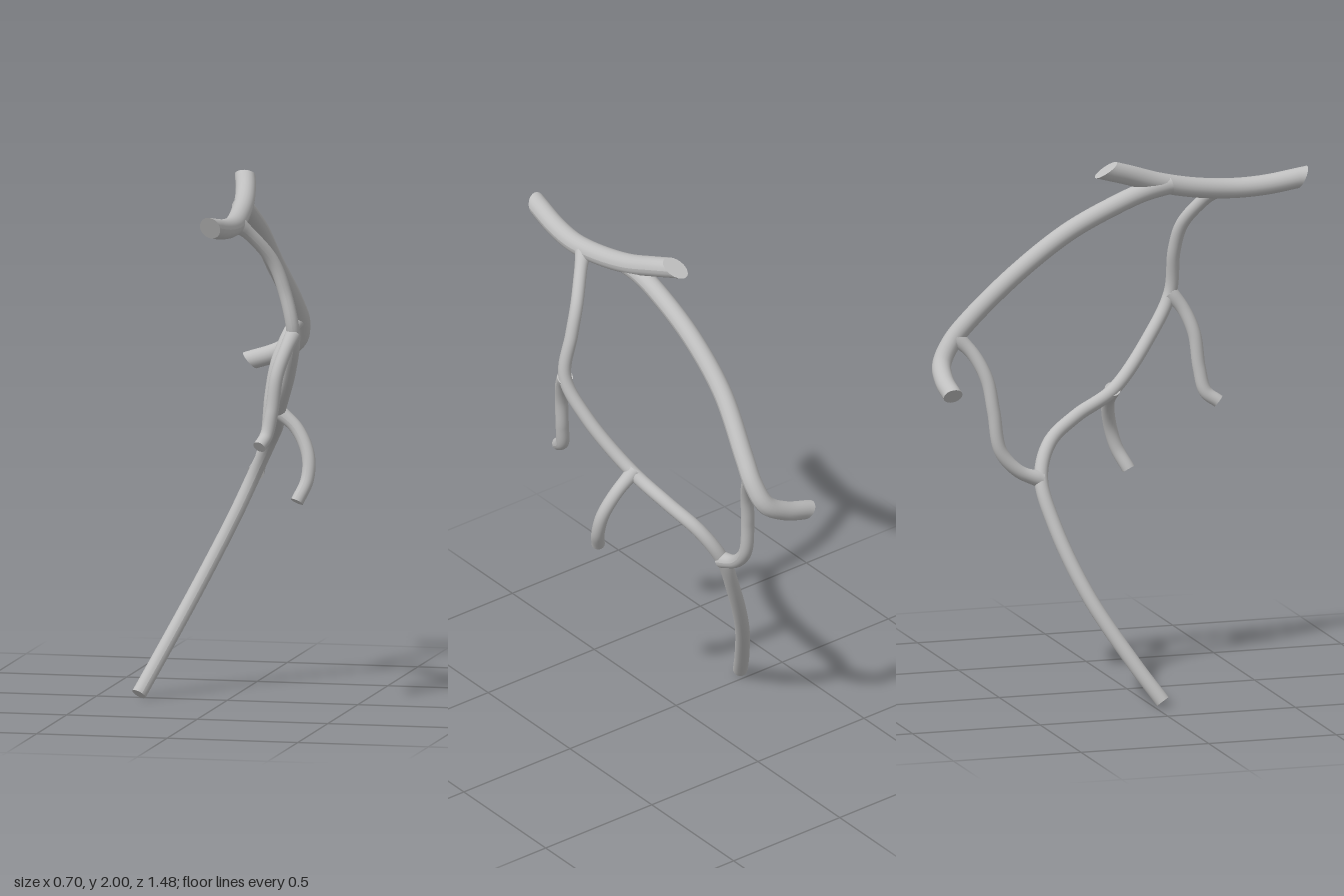
import * as THREE from 'three';

const SIDES = 20;
const V = (p) => new THREE.Vector3(...p);

// Capped tube through points. Options: cut0/cut1 = plane normals of slanted ends,
// flare0/flare1 = radius gain where the end melts into another branch, radius1 = end radius.
function branch(name, material, radius, points, o = {}) {
  const curve = new THREE.CatmullRomCurve3(points.map(V), false, 'centripetal');
  const steps = points.length * 8;
  const tube = new THREE.TubeGeometry(curve, steps, radius, SIDES, false);
  const pos = tube.attributes.position;
  const length = curve.getLength();
  const p = new THREE.Vector3();

  // taper and flare each ring about its centre
  for (let i = 0; i <= steps; i++) {
    const u = i / steps;
    const c = curve.getPointAt(u);
    const fall = (d) => Math.exp(-((d / 0.045) ** 2));
    const k = THREE.MathUtils.lerp(1, (o.radius1 ?? radius) / radius, u)
      + (o.flare0 ?? 0) * fall(u * length) + (o.flare1 ?? 0) * fall((1 - u) * length);
    for (let j = 0; j <= SIDES; j++) {
      const n = i * (SIDES + 1) + j;
      p.fromBufferAttribute(pos, n).sub(c).multiplyScalar(k).add(c);
      pos.setXYZ(n, p.x, p.y, p.z);
    }
  }

  // slide vertices lying beyond a cutting plane back along the axis
  const cut = (u, normal) => {
    if (!normal) return;
    const c = curve.getPointAt(u);
    const t = curve.getTangentAt(u);
    const n = V(normal).normalize();
    const ring = u * steps;
    for (let i = 0; i < 4; i++) {
      const r = Math.abs(ring - i);
      for (let j = 0; j <= SIDES; j++) {
        const v = r * (SIDES + 1) + j;
        p.fromBufferAttribute(pos, v);
        const d = p.clone().sub(c).dot(n);
        if (i === 0 || d > 0) p.addScaledVector(t, -d / t.dot(n));
        pos.setXYZ(v, p.x, p.y, p.z);
      }
    }
  };
  cut(0, o.cut0);
  cut(1, o.cut1);
  tube.computeVertexNormals();

  const group = new THREE.Group();
  group.name = name;
  const body = new THREE.Mesh(tube, material);
  body.name = name + 'Body';
  group.add(body);

  // flat end caps
  for (const u of [0, 1]) {
    const c = curve.getPointAt(u);
    const verts = [c.x, c.y, c.z];
    const index = [];
    for (let j = 0; j <= SIDES; j++) {
      p.fromBufferAttribute(pos, u * steps * (SIDES + 1) + j);
      verts.push(p.x, p.y, p.z);
    }
    // pick the winding that faces outward
    const a = V(verts.slice(3, 6)).sub(c);
    const b = V(verts.slice(6, 9)).sub(c);
    const outward = curve.getTangentAt(u).multiplyScalar(u ? 1 : -1);
    const ccw = a.cross(b).dot(outward) > 0;
    for (let j = 1; j <= SIDES; j++) index.push(0, ...(ccw ? [j, j + 1] : [j + 1, j]));
    const cap = new THREE.BufferGeometry();
    cap.setAttribute('position', new THREE.Float32BufferAttribute(verts, 3));
    cap.setIndex(index);
    cap.computeVertexNormals();
    const mesh = new THREE.Mesh(cap, material);
    mesh.name = name + 'Cap';
    group.add(mesh);
  }
  return group;
}

export function createModel() {
  const grey = new THREE.MeshStandardMaterial({ color: 0xbfbfbf });
  grey.name = 'light grey';
  const model = new THREE.Group();
  model.name = 'branchingTubes';

  model.add(
    // thick top trunk, cut at a slant on both ends
    branch('topTrunk', grey, 0.038, [
      [0.10, 1.887, 0.72], [0.117, 1.863, 0.58], [0.125, 1.857, 0.45], [0.115, 1.872, 0.3],
      [0.10, 1.905, 0.15], [0.078, 1.945, 0.03], [0.053, 1.975, -0.065],
    ], { cut0: [0, -0.39, 0.92], cut1: [0, 0.87, -0.49] }),

    // thick limb arching backward and hooking to the right
    branch('rearArch', grey, 0.036, [
      [0.10, 1.893, 0.2], [0.088, 1.875, 0.1], [0.082, 1.84, 0], [0.08, 1.745, -0.2], [0.088, 1.6, -0.4],
      [0.125, 1.42, -0.58], [0.133, 1.34, -0.645], [0.11, 1.265, -0.69], [0.03, 1.215, -0.705],
      [-0.075, 1.18, -0.705],
    ], { cut1: [-0.75, -0.66, 0] }),

    // long stem from the trunk down to the ground
    branch('longStem', grey, 0.024, [
      [0.125, 1.862, 0.40], [0.165, 1.82, 0.365], [0.24, 1.71, 0.295], [0.28, 1.6, 0.275],
      [0.315, 1.43, 0.27], [0.28, 1.28, 0.18], [0.2, 1.1, 0.01], [0.155, 1.02, -0.15],
      [0.10, 0.94, -0.27], [0.035, 0.82, -0.325], [-0.04, 0.65, -0.295], [-0.155, 0.4, -0.2],
      [-0.265, 0.16, -0.06], [-0.33, 0.018, 0.035],
    ], { radius1: 0.028, flare0: 0.4 }),

    // two short hanging twigs
    branch('frontTwig', grey, 0.025, [
      [0.315, 1.43, 0.27], [0.295, 1.37, 0.315], [0.27, 1.28, 0.35], [0.255, 1.15, 0.365],
      [0.238, 1.06, 0.385], [0.222, 1.024, 0.43],
    ], { flare0: 0.2 }),
    branch('middleTwig', grey, 0.025, [
      [0.19, 1.105, 0.005], [0.27, 1.035, 0.012], [0.318, 0.94, 0.035], [0.32, 0.85, 0.062],
      [0.29, 0.773, 0.1],
    ], { flare0: 0.2 }),

    // link joining the long stem to the rear arch
    branch('rearLink', grey, 0.025, [
      [0.035, 0.815, -0.325], [0.035, 0.85, -0.41], [0.043, 0.93, -0.48], [0.052, 1.08, -0.505],
      [0.07, 1.2, -0.525], [0.1, 1.295, -0.57], [0.13, 1.36, -0.63],
    ], { flare0: 0.25, flare1: 0.3 }),
  );
  return model;
}
